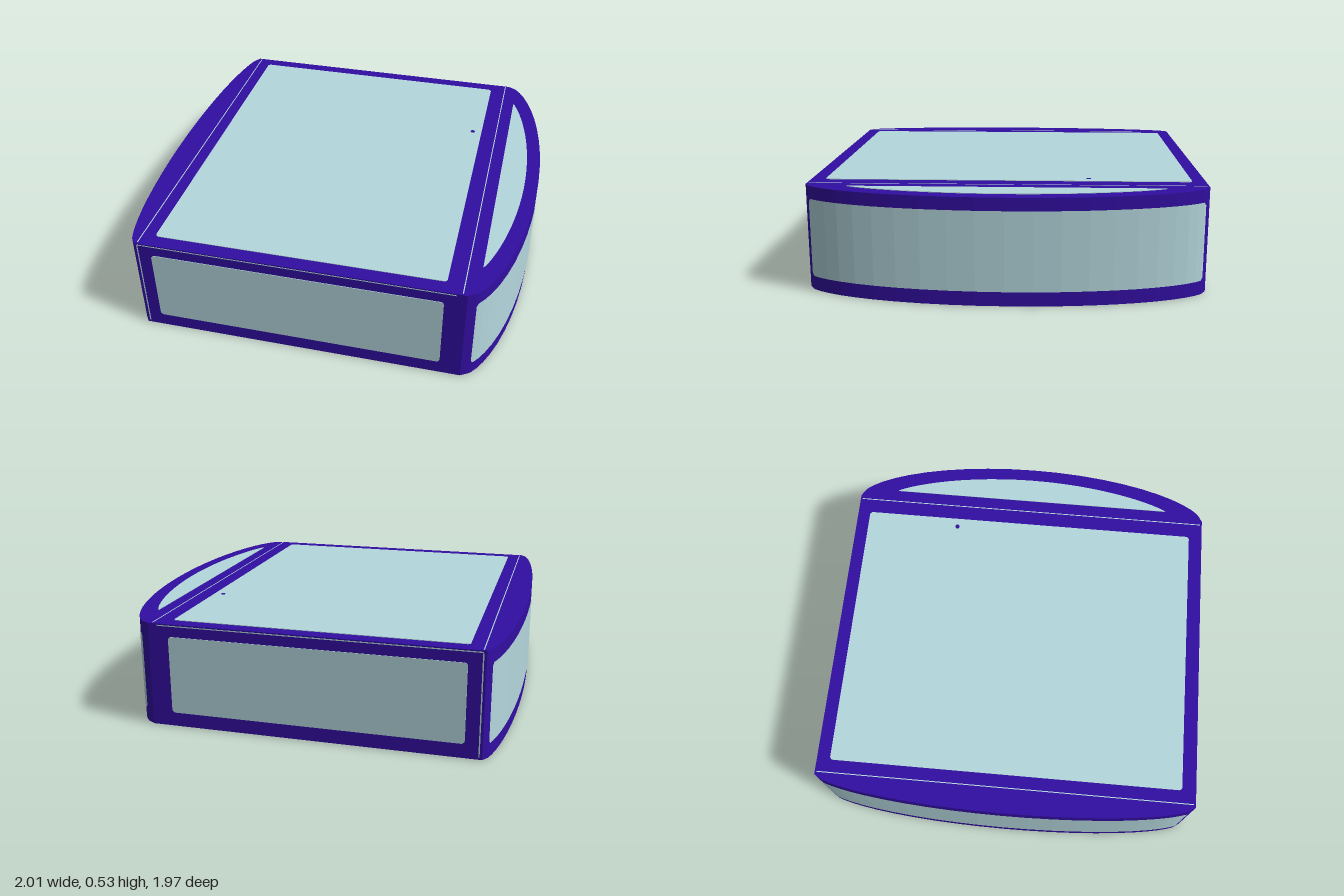
import * as THREE from 'three';

const H = 0.532, HALF = 0.98, LIFT = 0.003;
const Y0 = 0.074, Y1 = 0.466; // height range of the side panels

const frameMat = new THREE.MeshStandardMaterial({ color: 0x320ea2 });
frameMat.name = 'violet frame';
const panelMat = new THREE.MeshStandardMaterial({ color: 0xb4d7dd });
panelMat.name = 'pale blue panel';

// Bulge of a side wall at depth z
const bulge = (z, x0, d) => x0 + d * Math.pow(Math.max(0, 1 - (z / HALF) ** 2), 0.6);

// Wall points from the back to the front, closer together at the corners
function wallPoints(x0, d, end) {
  const pts = [], n = 22;
  for (let i = 0; i <= n; i++) {
    const z = -end * Math.cos((Math.PI * i) / n);
    pts.push(new THREE.Vector2(bulge(z, x0, d), z));
  }
  return pts;
}

function roundedRect(x0, y0, x1, y1, r = 0.018) {
  const s = new THREE.Shape();
  s.absarc(x1 - r, y1 - r, r, 0, Math.PI / 2);
  s.absarc(x0 + r, y1 - r, r, Math.PI / 2, Math.PI);
  s.absarc(x0 + r, y0 + r, r, Math.PI, Math.PI * 1.5);
  s.absarc(x1 - r, y0 + r, r, Math.PI * 1.5, Math.PI * 2);
  return s;
}

const extrude = (shape, depth) =>
  new THREE.ExtrudeGeometry(shape, { depth, bevelEnabled: false, curveSegments: 6 });

export function createModel() {
  const group = new THREE.Group();
  const add = (name, geo, mat) => {
    const mesh = new THREE.Mesh(geo, mat);
    mesh.name = name;
    group.add(mesh);
    return mesh;
  };

  const left = wallPoints(0.75, 0.25, 0.955);
  const right = wallPoints(-0.885, -0.115, 0.948);

  // Body: flat front and back, bulging sides
  const outline = new THREE.Shape([
    new THREE.Vector2(-0.885, -HALF), new THREE.Vector2(0.75, -HALF), ...left,
    new THREE.Vector2(0.75, HALF), new THREE.Vector2(-0.885, HALF), ...right.slice().reverse(),
  ]);
  add('body', extrude(outline, H - 2 * LIFT).rotateX(-Math.PI / 2).translate(0, LIFT, 0), frameMat);

  // Front and back panels
  for (const s of [1, -1]) {
    const geo = extrude(roundedRect(-0.803, Y0, 0.645, Y1), 2 * LIFT);
    add(s > 0 ? 'frontPanel' : 'backPanel', geo.translate(0, 0, s * HALF - LIFT), panelMat);
  }

  // Curved side panels, a ribbon following each wall
  function ribbon(name, pts, side) {
    const pos = [], idx = [];
    pts.forEach((p, i) => {
      const trim = i === 0 || i === pts.length - 1 ? 0.015 : 0;
      const a = pts[Math.max(0, i - 1)], b = pts[Math.min(pts.length - 1, i + 1)];
      const t = b.clone().sub(a).normalize();
      const x = p.x + side * t.y * LIFT, z = p.y - side * t.x * LIFT;
      pos.push(x, Y0 + trim, z, x, Y1 - trim, z);
      if (i > 0) {
        const k = 2 * i;
        if (side > 0) idx.push(k - 2, k - 1, k, k, k - 1, k + 1);
        else idx.push(k - 2, k, k - 1, k, k + 1, k - 1);
      }
    });
    let geo = new THREE.BufferGeometry();
    geo.setAttribute('position', new THREE.Float32BufferAttribute(pos, 3));
    geo.setIndex(idx);
    geo = geo.toNonIndexed();
    geo.computeVertexNormals();
    add(name, geo, panelMat);
  }
  ribbon('leftCurvedPanel', left, 1);
  ribbon('rightCurvedPanel', right, -1);

  // Top and bottom: main panel, crescent window and seams
  const crescent = new THREE.Shape();
  for (let i = 0; i <= 28; i++) {
    const z = -0.77 * Math.cos((Math.PI * i) / 28);
    const x = 0.795 + 0.135 * Math.pow(Math.max(0, 1 - (z / 0.77) ** 2), 0.82);
    if (i === 0) crescent.moveTo(x, z);
    else crescent.lineTo(x, z);
  }
  for (const [label, y] of [['top', H - 2 * LIFT], ['bottom', 0]]) {
    const plate = (shape) => extrude(shape, 2 * LIFT).rotateX(-Math.PI / 2).translate(0, y, 0);
    add(label + 'Panel', plate(roundedRect(-0.803, -0.908, 0.645, 0.912)), panelMat);
    add(label + 'Crescent', plate(crescent), panelMat);
    for (const x of [-0.87, 0.728]) {
      const seam = new THREE.BoxGeometry(0.005, 0.002, 1.94);
      add(label + 'Seam', seam.translate(x, y ? H - LIFT : LIFT, 0), panelMat);
    }
  }

  // Fine seams on the front and back
  for (const s of [1, -1]) {
    add('uprightSeam', new THREE.BoxGeometry(0.006, 0.5, 0.002).translate(-0.87, H / 2, s * HALF), panelMat);
    add('edgeSeam', new THREE.BoxGeometry(1.57, 0.005, 0.002).translate(-0.085, H - 0.012, s * HALF), panelMat);
  }

  // Small dot on the top panel
  add('topDot', new THREE.CylinderGeometry(0.012, 0.012, 0.004, 12).translate(0.595, H, -0.405), frameMat);

  return group;
}
